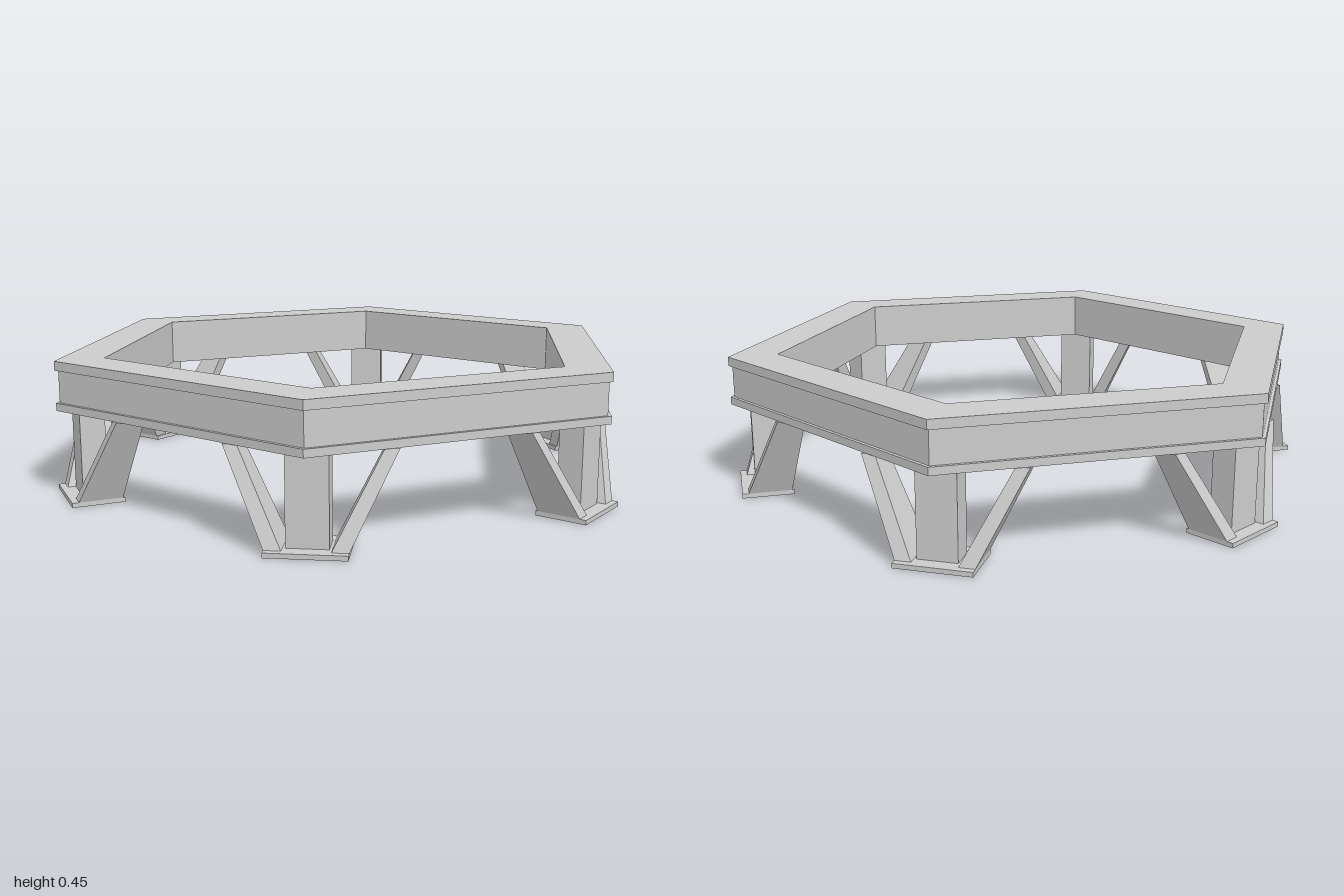
import * as THREE from 'three';
import { mergeVertices } from 'three/addons/utils/BufferGeometryUtils.js';

const SIDES = 6;
const RING_BOTTOM = 0.29;
const PLATE_TOP = 0.015;

const material = new THREE.MeshStandardMaterial({ color: 0xcccccc, flatShading: true });

function part(name, geometry, x = 0, y = 0, z = 0) {
  const mesh = new THREE.Mesh(geometry, material);
  mesh.name = name;
  mesh.position.set(x, y, z);
  return mesh;
}

// Six-sided beam ring: a closed profile with two slim flanges around a recessed web
function ringGeometry() {
  const profile = [
    [0.84, RING_BOTTOM], [1, RING_BOTTOM], [1, 0.315], [0.988, 0.315],
    [0.988, 0.42], [1, 0.42], [1, 0.45], [0.84, 0.45], [0.84, RING_BOTTOM],
  ].map(([r, y]) => new THREE.Vector2(r, y));
  const geometry = new THREE.LatheGeometry(profile, SIDES).toNonIndexed();
  geometry.computeVertexNormals();
  return geometry;
}

// Slanted brace, wide at the foot and narrow where it meets the ring
function braceGeometry(side) {
  const foot = { x: 0.095, width: 0.05, inner: 0.825, outer: 0.965 };
  const head = { x: 0.23, width: 0.042, inner: 0.778, outer: 0.865 };
  const geometry = new THREE.BoxGeometry(1, 1, 1).toNonIndexed();
  const p = geometry.attributes.position;
  for (let i = 0; i < p.count; i++) {
    const top = p.getY(i) > 0;
    const end = top ? head : foot;
    p.setXYZ(
      i,
      side * end.x + p.getX(i) * end.width,
      top ? RING_BOTTOM : PLATE_TOP,
      p.getZ(i) > 0 ? end.outer : end.inner,
    );
  }
  geometry.computeVertexNormals();
  return geometry;
}

// One leg at the +z corner: base plate, post and a pair of braces
function createLeg() {
  const leg = new THREE.Group();
  const height = RING_BOTTOM - PLATE_TOP;
  leg.add(part('basePlate', new THREE.BoxGeometry(0.24, PLATE_TOP, 0.168), 0, PLATE_TOP / 2, 0.902));
  leg.add(part('post', new THREE.BoxGeometry(0.124, height, 0.08), 0, PLATE_TOP + height / 2, 0.9));
  leg.add(part('leftBrace', braceGeometry(1)));
  leg.add(part('rightBrace', braceGeometry(-1)));
  return leg;
}

export function createModel() {
  const model = new THREE.Group();
  model.name = 'hexagonalStand';
  model.add(part('ring', ringGeometry()));

  // A leg under every corner of the ring
  for (let i = 0; i < SIDES; i++) {
    const leg = createLeg();
    leg.name = `leg${i + 1}`;
    leg.rotation.y = (i * Math.PI * 2) / SIDES;
    model.add(leg);
  }
  return model;
}
